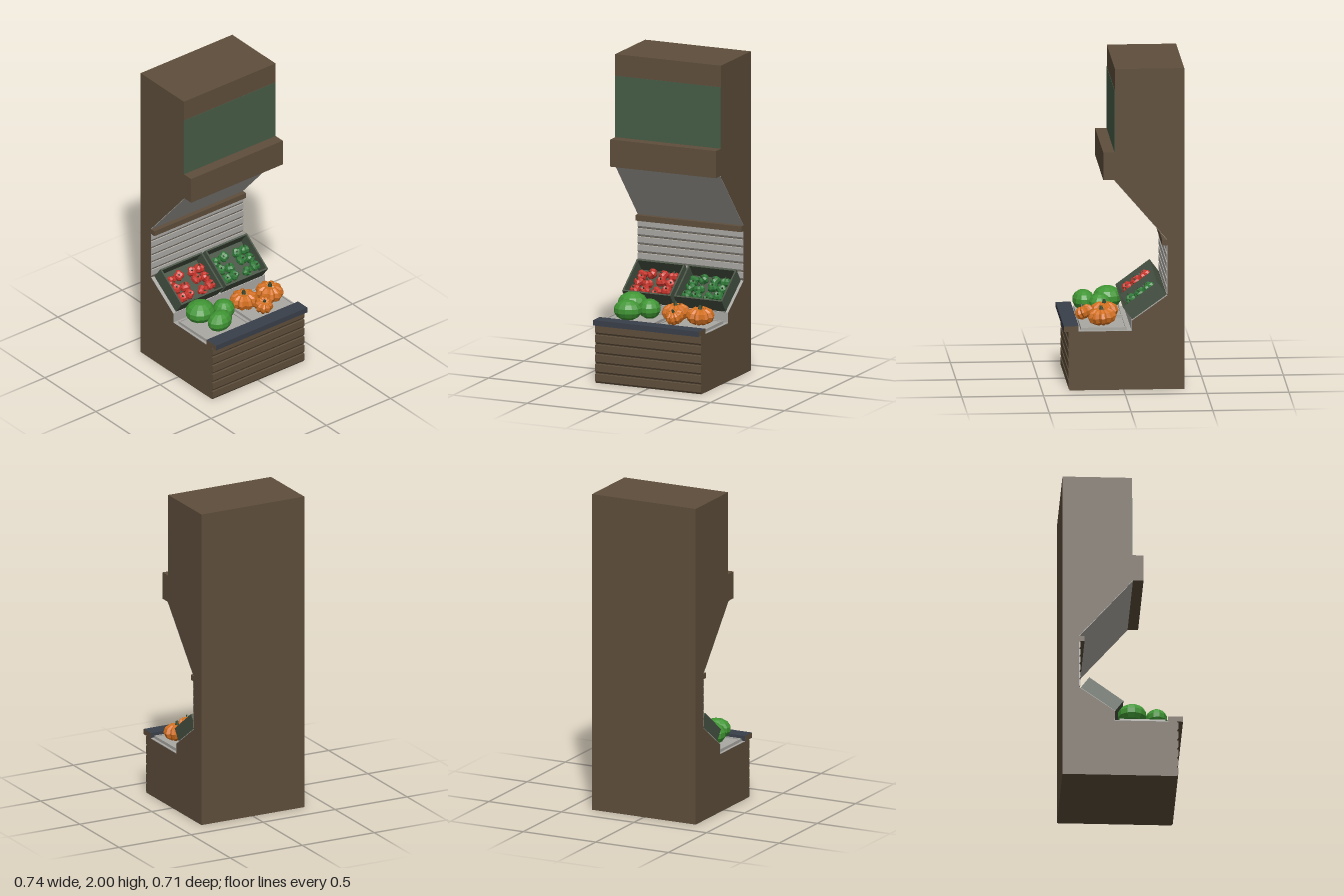
import * as THREE from 'three';

const material = (name, color, extra = {}) => {
  const m = new THREE.MeshStandardMaterial({ color, ...extra });
  m.name = name;
  return m;
};
const DEPTH = 0.714;

export function createModel() {
  const root = new THREE.Group();
  root.name = 'produceStand';
  const flat = { flatShading: true };
  const brown = material('brown wood', 0x5e4e3b, flat);
  const grey = material('light grey', 0xaaa8a3, flat);
  const navy = material('dark slate', 0x393f4a, flat);
  const signGreen = material('sign green', 0x465c46, flat);
  const crateGreen = material('crate green', 0x465242, flat);
  const orange = material('pumpkin orange', 0xd4701f, flat);
  const melonGreen = material('melon green', 0x409634, flat);
  const red = material('tomato red', 0xc8352c, flat);
  const pepperGreen = material('pepper green', 0x2f7a38, flat);
  const stemGreen = material('stem green', 0x35492f, flat);

  const add = (parent, name, geo, mat, x = 0, y = 0, z = 0) => {
    const m = new THREE.Mesh(geo, mat);
    m.name = name;
    m.position.set(x, y, z);
    parent.add(m);
    return m;
  };
  // Box given by its limits in x and y, centred on z
  const bar = (name, x0, x1, y0, y1, mat, depth = DEPTH) =>
    add(root, name, new THREE.BoxGeometry(x1 - x0, y1 - y0, depth), mat, (x0 + x1) / 2, (y0 + y1) / 2, 0);
  // Side profile swept across the full width
  const sweep = (name, pts, mat) => {
    const shape = new THREE.Shape(pts.map(([x, y]) => new THREE.Vector2(x, y)));
    const geo = new THREE.ExtrudeGeometry(shape, { depth: DEPTH, bevelEnabled: false });
    return add(root, name, geo.translate(0, 0, -DEPTH / 2), mat);
  };
  // Thin plate lying on the segment a-b of the profile
  const plate = (name, a, b, mat) => {
    const len = Math.hypot(b[0] - a[0], b[1] - a[1]);
    const m = add(root, name, new THREE.BoxGeometry(len, 0.004, DEPTH), mat,
      (a[0] + b[0]) / 2, (a[1] + b[1]) / 2, 0);
    m.rotation.z = Math.atan2(b[1] - a[1], b[0] - a[0]);
    return m;
  };

  // Cabinet
  sweep('cabinet', [
    [-0.37, 0], [0.33, 0], [0.33, 0.366], [-0.05, 0.366], [-0.05, 0.43], [-0.268, 0.585],
    [-0.268, 0.93], [0.06, 1.31], [0.125, 1.31], [0.125, 1.48], [0.054, 1.48], [0.054, 2], [-0.37, 2],
  ], brown);
  plate('canopyUnderside', [-0.266, 0.932], [0.059, 1.309], grey);
  plate('signPanel', [0.054, 1.481], [0.054, 1.865], signGreen);
  plate('shelfSlope', [-0.05, 0.43], [-0.266, 0.585], grey);
  plate('shelfRiser', [-0.05, 0.367], [-0.05, 0.43], grey);
  plate('counterFloor', [-0.048, 0.366], [0.276, 0.366], grey);
  bar('wallTrim', -0.268, -0.235, 0.895, 0.93, brown);
  bar('counterRail', 0.275, 0.366, 0.366, 0.4, [navy, navy, navy, brown, brown, brown]);

  // Bevelled slats on the front and on the rear wall
  const slat = (name, x, y0, y1, mat) => sweep(name, [
    [x, y0 + 0.001], [x + 0.007, y0 + 0.012], [x + 0.007, y1 - 0.002], [x, y1],
  ], mat);
  for (let i = 0; i < 6; i++) slat('frontSlat', 0.33, i * 0.061, Math.min(0.366, i * 0.061 + 0.058), brown);
  for (let i = 0; i < 6; i++) slat('wallSlat', -0.268, 0.59 + i * 0.051, 0.59 + i * 0.051 + 0.049, grey);

  // Shallow trays on the counter
  for (const z of [-0.178, 0.178]) {
    const tray = new THREE.Group();
    tray.name = 'tray';
    tray.position.set(0.12, 0.375, z);
    root.add(tray);
    add(tray, 'trayBase', new THREE.BoxGeometry(0.28, 0.008, 0.326), grey);
    for (const s of [-1, 1]) {
      add(tray, 'trayRim', new THREE.BoxGeometry(0.008, 0.018, 0.326), grey, s * 0.136, 0.002, 0);
      add(tray, 'trayRim', new THREE.BoxGeometry(0.264, 0.018, 0.008), grey, 0, 0.002, s * 0.159);
    }
  }

  // Ribbed fruit: every third meridian is pulled in and the poles are dimpled
  const ribbed = (lobes, rows, dent, dimple) => {
    const geo = new THREE.SphereGeometry(1, lobes * 3, rows);
    const p = geo.attributes.position;
    for (let i = 0; i < p.count; i++) {
      const col = i % (lobes * 3 + 1);
      const k = col % 3 === 0 ? dent : 1;
      const r = Math.hypot(p.getX(i), p.getZ(i));
      const y = p.getY(i) * (1 - dimple * Math.pow(1 - r, 2));
      p.setXYZ(i, p.getX(i) * k, y * (0.6 + 0.4 * k), p.getZ(i) * k);
    }
    geo.computeVertexNormals();
    return geo;
  };
  const pumpkinGeo = ribbed(9, 6, 0.82, 0.3);
  const pepperGeo = ribbed(4, 5, 0.8, 0.35);
  const stemGeo = new THREE.CylinderGeometry(0.1, 0.17, 0.45, 5);
  const fruit = (parent, name, geo, mat, pos, size, rot) => {
    const g = new THREE.Group();
    g.name = name;
    g.position.set(...pos);
    g.scale.set(...size);
    g.rotation.set(...rot);
    parent.add(g);
    add(g, name + 'Body', geo, mat);
    add(g, name + 'Stem', stemGeo, stemGreen, 0, 0.88, 0);
  };

  // Pumpkins
  fruit(root, 'pumpkin', pumpkinGeo, orange, [0.125, 0.438, -0.252], [0.088, 0.06, 0.088], [0, 0.2, -0.1]);
  fruit(root, 'pumpkin', pumpkinGeo, orange, [0.1, 0.438, -0.075], [0.088, 0.06, 0.088], [0.05, 0.5, 0]);
  fruit(root, 'pumpkin', pumpkinGeo, orange, [0.225, 0.44, -0.128], [0.06, 0.048, 0.06], [0.15, 0, -0.4]);

  // Melons
  const melonGeo = new THREE.SphereGeometry(1, 12, 7);
  for (const [x, y, z, sx, sy, sz, turn] of [
    [0.208, 0.446, 0.2, 0.068, 0.064, 0.088, 0.2],
    [0.115, 0.445, 0.095, 0.07, 0.062, 0.068, -0.4],
    [0.06, 0.455, 0.235, 0.09, 0.07, 0.095, 0.15],
  ]) {
    const m = add(root, 'melon', melonGeo, melonGreen, x, y, z);
    m.scale.set(sx, sy, sz);
    m.rotation.y = turn;
  }

  // Tilted crates with vegetables
  const crate = (z, mat, name) => {
    const c = new THREE.Group();
    c.name = name + 'Crate';
    c.position.set(-0.13, 0.547, z);
    c.rotation.z = -0.636;
    root.add(c);
    add(c, 'crateFloor', new THREE.BoxGeometry(0.26, 0.012, 0.325), crateGreen, 0, -0.043, 0);
    for (const s of [-1, 1]) {
      add(c, 'crateEnd', new THREE.BoxGeometry(0.01, 0.098, 0.325), crateGreen, s * 0.125, 0, 0);
      add(c, 'crateSide', new THREE.BoxGeometry(0.24, 0.098, 0.01), crateGreen, 0, 0, s * 0.1575);
    }
    for (let i = 0; i < 3; i++) {
      for (let j = 0; j < 4; j++) {
        const n = i * 4 + j;
        const pos = [-0.052 + i * 0.064 + 0.008 * Math.sin(n * 2.3), 0.012 + 0.012 * Math.sin(n * 1.7),
          -0.115 + j * 0.076 + 0.007 * Math.cos(n * 3.1)];
        fruit(c, name, pepperGeo, mat, pos, [0.035, 0.032, 0.035],
          [0.4 * Math.sin(n * 1.3), n, 0.35 + 0.35 * Math.cos(n * 2.1)]);
      }
    }
  };
  crate(0.172, red, 'redPepper');
  crate(-0.177, pepperGreen, 'greenPepper');

  return root;
}
